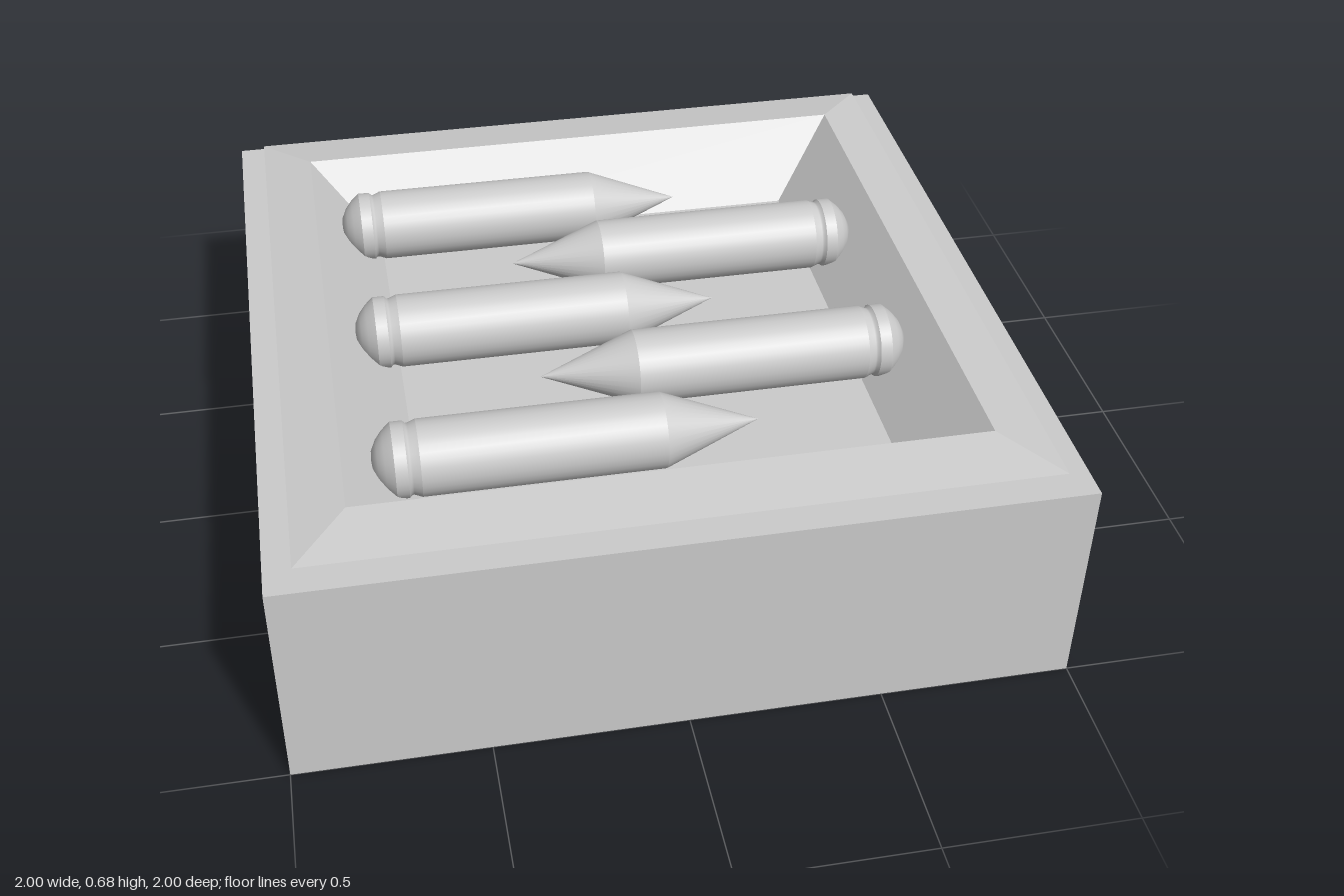
import * as THREE from 'three';

const material = new THREE.MeshStandardMaterial({ color: 0xcccccc });
const flatMaterial = new THREE.MeshStandardMaterial({ color: 0xcccccc, flatShading: true });

// Joins rectangular loops [halfX, halfZ, y] into one faceted skin, closing both ends.
function rectLoft(loops) {
  const positions = [];
  const corners = loops.map(([x, z, y]) => [[x, y, z], [x, y, -z], [-x, y, -z], [-x, y, z]]);
  const quad = (a, b, c, d) => positions.push(...a, ...b, ...c, ...a, ...c, ...d);
  for (let i = 0; i < corners.length - 1; i++) {
    for (let k = 0; k < 4; k++) {
      const n = (k + 1) % 4;
      quad(corners[i][k], corners[i][n], corners[i + 1][n], corners[i + 1][k]);
    }
  }
  quad(...corners.at(-1));
  quad(...[...corners[0]].reverse());
  const geometry = new THREE.BufferGeometry();
  geometry.setAttribute('position', new THREE.Float32BufferAttribute(positions, 3));
  geometry.computeVertexNormals();
  return geometry;
}

// Turned pieces: each profile is [radius, distance along the axis].
function turned(name, profile) {
  const points = profile.map(([r, d]) => new THREE.Vector2(r, d));
  const mesh = new THREE.Mesh(new THREE.LatheGeometry(points, 32), material);
  mesh.name = name;
  mesh.rotation.z = -Math.PI / 2; // axis along +x
  return mesh;
}

function createRound() {
  const round = new THREE.Group();
  round.add(
    turned('domedBase', [[0, -0.722], [0.03, -0.72], [0.057, -0.707], [0.078, -0.69], [0.097, -0.668]]),
    turned('baseRim', [[0.097, -0.668], [0.097, -0.637]]),
    turned('groove', [[0.097, -0.637], [0.09, -0.63], [0.09, -0.625], [0.098, -0.605]]),
    turned('casing', [[0.098, -0.605], [0.098, 0.01]]),
    turned('pointedTip', [[0.098, 0.01], [0, 0.26]])
  );
  return round;
}

export function createModel() {
  const model = new THREE.Group();

  // Solid tray: block, undercut rim, sloping inner walls and sunken floor
  const tray = new THREE.Mesh(rectLoft([
    [1, 1, 0],
    [1, 1, 0.6],
    [0.9, 0.89, 0.6],
    [0.93, 0.955, 0.635],
    [0.795, 0.795, 0.66],
    [0.61, 0.61, 0.48]
  ]), flatMaterial);
  tray.name = 'tray';
  model.add(tray);

  // Five rounds lying in alternating directions
  [-0.53, -0.262, 0.005, 0.277, 0.55].forEach((z, i) => {
    const round = createRound();
    round.name = `round${i + 1}`;
    round.position.set(0, 0.582, z);
    if (i % 2) round.rotation.y = Math.PI;
    model.add(round);
  });

  return model;
}
